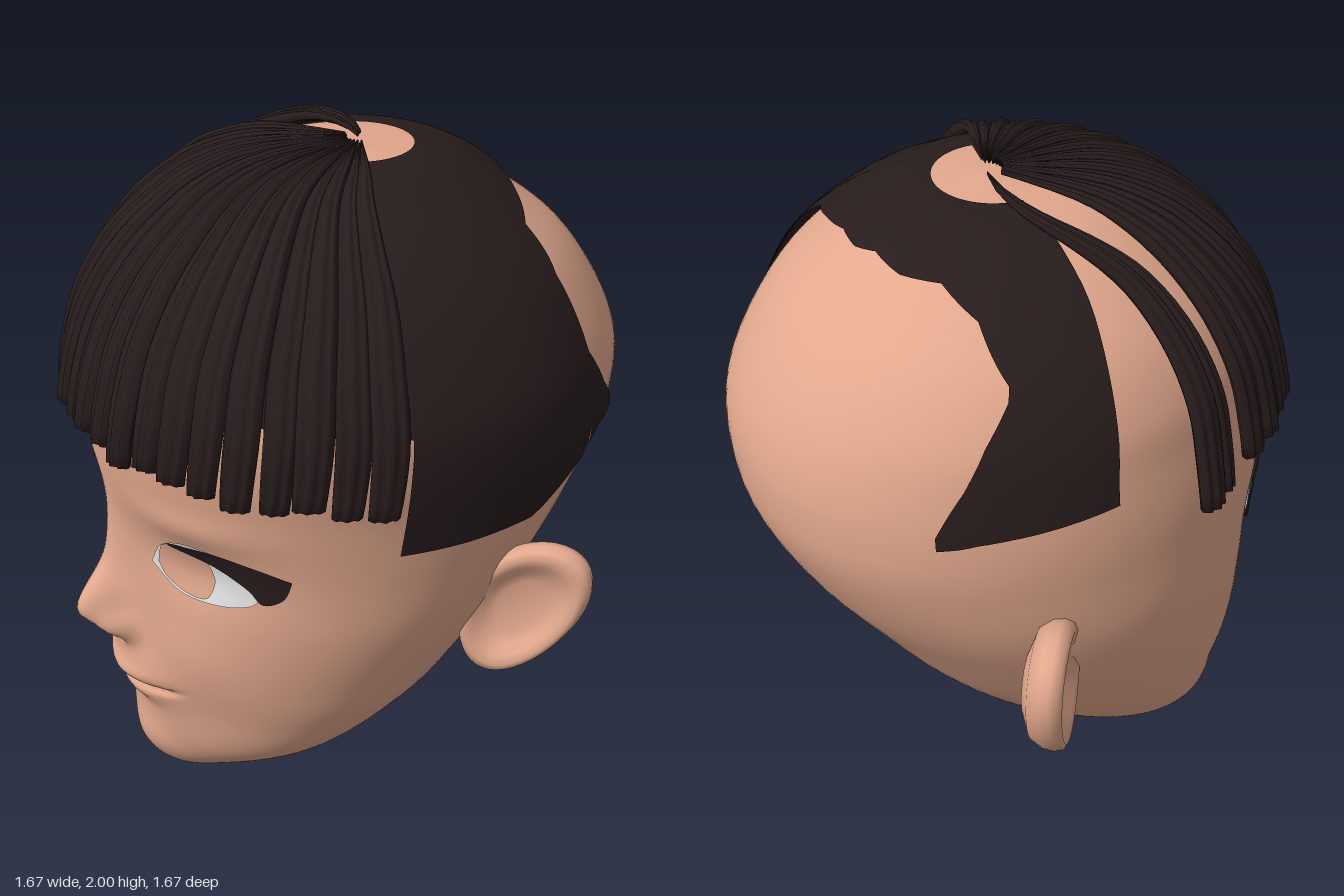
import * as THREE from 'three';
import { mergeVertices } from 'three/addons/utils/BufferGeometryUtils.js';

const RAD = Math.PI / 180, YAW = 14 * RAD, C = Math.cos(YAW), S = Math.sin(YAW);
const V = (x, y, z) => new THREE.Vector3(x, y, z);
const { lerp, clamp, smoothstep } = THREE.MathUtils;

// Horizontal slices of the head: y, min x, max x, min z, max z
const SLICES = [
  [0, -.21, -.21, .46, .46], [.02, -.36, -.08, .33, .57], [.07, -.46, .04, .19, .61],
  [.2, -.575, .27, -.08, .64], [.36, -.64, .41, -.3, .66], [.5, -.685, .485, -.435, .685],
  [.7, -.73, .57, -.58, .69], [.9, -.755, .625, -.715, .7], [1.1, -.755, .67, -.81, .735],
  [1.25, -.75, .705, -.835, .75], [1.4, -.73, .715, -.82, .74], [1.55, -.7, .67, -.76, .69],
  [1.7, -.62, .59, -.65, .6], [1.82, -.5, .47, -.5, .48], [1.9, -.38, .35, -.39, .36],
  [1.95, -.24, .24, -.26, .22], [1.97, .03, .03, -.03, -.03],
];
const curveX = new THREE.CatmullRomCurve3(SLICES.map(r => V(r[0], r[1], r[2])), false, 'catmullrom', .5);
const curveZ = new THREE.CatmullRomCurve3(SLICES.map(r => V(r[0], r[3], r[4])), false, 'catmullrom', .5);

// Turned ellipse at slice parameter u (0 chin, 1 crown)
function level(u) {
  const p = curveX.getPoint(u), q = curveZ.getPoint(u);
  const hx = Math.max(0, (p.z - p.y) / 2), hz = Math.max(0, (q.z - q.y) / 2), k = C * C - S * S;
  const a = Math.sqrt(Math.max(0, (hx * hx * C * C - hz * hz * S * S) / k));
  const b = Math.sqrt(Math.max(0, (hz * hz * C * C - hx * hx * S * S) / k));
  return { y: p.x, cx: (p.y + p.z) / 2, cz: (q.y + q.z) / 2, a, b, hx };
}
function uOf(y) {
  let lo = 0, hi = 1;
  for (let i = 0; i < 30; i++) {
    const m = (lo + hi) / 2;
    if (curveX.getPoint(m).x < y) lo = m; else hi = m;
  }
  return (lo + hi) / 2;
}
// Point on the bare skull; th is measured from the face towards the head's left
function skull(th, u, off = 0) {
  const l = level(u), s = l.a * Math.sin(th), f = l.b * Math.cos(th);
  const p = V(l.cx + C * s - S * f, l.y, l.cz + S * s + C * f);
  return off ? p.addScaledVector(p.clone().sub(V(0, 1.1, 0)).normalize(), off) : p;
}

// Facial relief as forward displacement
const hill = (x, y, cx, cy, sx, sy) => Math.exp(-(((x - cx) / sx) ** 2) - ((y - cy) / sy) ** 2);
const mouthY = x => .367 + 1.1 * (x + .2) ** 2 * (x < -.2 ? .85 : .8);
function relief(x, y) {
  let d = .145 * hill(x, y, -.275, .63, .09, y > .63 ? .11 : .085);
  d += .05 * (hill(x, y, -.355, .585, .05, .05) + hill(x, y, -.185, .575, .05, .05));
  d += .04 * hill(x, y, -.25, .8, .07, .17);
  d -= .025 * (hill(x, y, -.315, .535, .022, .016) + hill(x, y, -.215, .53, .022, .016));
  d -= .025 * (hill(x, y, -.5, .95, .15, .1) + hill(x, y, .13, .89, .17, .1));
  d += .012 * (hill(x, y, -.52, 1.09, .15, .05) + hill(x, y, .14, 1.04, .18, .05));
  d += .012 * (hill(x, y, -.52, .62, .13, .12) + hill(x, y, .1, .58, .15, .12));
  const m = mouthY(x);
  d += .045 * hill(x, y, -.23, .42, .2, .1) + .022 * hill(x, y, -.22, .12, .13, .08);
  d += .022 * hill(x, y, -.23, m + .04, .14, .03) + .022 * hill(x, y, -.23, m - .04, .12, .032);
  d -= .024 * Math.exp(-(((x + .235) / .24) ** 6)) * Math.exp(-(((y - m) / .012) ** 2));
  return d;
}
// Depth of the face at a front position
function faceZ(x, y) {
  const l = level(uOf(y));
  const th = Math.asin(clamp((x - l.cx) / l.hx, -1, 1)) + Math.atan2(l.b * S, l.a * C);
  return l.cz + S * l.a * Math.sin(th) + C * l.b * Math.cos(th) + relief(x, y);
}

function grid(nu, nv, f) {
  const pos = [], idx = [];
  for (let j = 0; j <= nv; j++) for (let i = 0; i <= nu; i++) pos.push(...f(i / nu, j / nv).toArray());
  for (let j = 0; j < nv; j++) for (let i = 0; i < nu; i++) {
    const a = j * (nu + 1) + i, d = a + nu + 1;
    idx.push(a, a + 1, d + 1, a, d + 1, d);
  }
  let g = new THREE.BufferGeometry();
  g.setAttribute('position', new THREE.Float32BufferAttribute(pos, 3));
  g.setIndex(idx);
  g = mergeVertices(g, 1e-5);
  g.computeVertexNormals();
  return g;
}

export function createModel() {
  const root = new THREE.Group();
  const mat = (name, color, side = THREE.FrontSide) => {
    const m = new THREE.MeshStandardMaterial({ color, side });
    m.name = name;
    return m;
  };
  const skin = mat('skin', 0xe2a88d);
  const hair = mat('hair', 0x281c1c, THREE.DoubleSide);
  const white = mat('eye white', 0xe6e6e6, THREE.DoubleSide);
  const add = (name, g, m, parent = root) => {
    const mesh = new THREE.Mesh(g, m);
    mesh.name = name;
    parent.add(mesh);
  };

  // Head, with denser columns at the face
  add('head', grid(150, 192, (s, u) => {
    const t = (s * 2 - 1) * Math.PI, th = t - .5 * Math.sin(t), p = skull(th, u);
    p.z += relief(p.x, p.y) * smoothstep(Math.cos(th), .1, .45);
    return p;
  }), skin);

  // Ears: rimmed bowls standing out from the sides
  const profile = [[0, -.42], [.5, -.38], [.85, -.25], [.98, -.06], [1, .1], [.95, .23], [.85, .27],
    [.72, .22], [.58, .1], [.4, .03], [0, .02]].map(p => new THREE.Vector2(...p));
  for (const [name, sgn, centre, lean] of [['leftEar', 1, V(.645, .7, -.13), .36], ['rightEar', -1, V(-.655, .815, -.5), .16]]) {
    const dir = deg => V(Math.sin(sgn * deg * RAD - YAW), 0, Math.cos(sgn * deg * RAD - YAW));
    const w = dir(134.5), n = dir(44.5), up = V(0, .96, 0).addScaledVector(w, lean);
    const g = new THREE.LatheGeometry(profile, 40), p = g.attributes.position;
    for (let i = 0; i < p.count; i++) p.setX(i, p.getX(i) * (.9 - .14 * sgn * p.getZ(i)));
    g.applyMatrix4(new THREE.Matrix4().makeBasis(w.multiplyScalar(.195), n.multiplyScalar(.19), up.multiplyScalar(-.24 * sgn)).setPosition(centre));
    g.deleteAttribute('uv');
    g.deleteAttribute('normal');
    const smooth = mergeVertices(g, 1e-5);
    smooth.computeVertexNormals();
    add(name, smooth, skin);
  }

  // Eyes: thin plates spanned between an upper and a lower edge, laid on the face
  const spline = pts => new THREE.SplineCurve(pts.map(p => new THREE.Vector2(...p)));
  const plate = (name, m, top, bottom, off) => {
    const a = spline(top), b = spline(bottom);
    add(name, grid(28, 10, (s, t) => {
      const p = b.getPoint(s).lerp(a.getPoint(s), t);
      return V(p.x, p.y, faceZ(p.x, p.y) + off);
    }), m);
  };
  const eyes = [{
    side: 'left',
    top: [[-.045, .865], [.01, .945], [.125, .99], [.245, .96], [.31, .865]],
    bottom: [[-.045, .865], [.06, .805], [.19, .8], [.285, .825], [.31, .865]],
    irisTop: [[-.01, .88], [.02, .95], [.1, .98], [.165, .96], [.185, .88]],
    irisBottom: [[-.01, .88], [.02, .84], [.09, .812], [.16, .815], [.185, .88]],
    lashTop: [[.06, .98], [.2, .997], [.32, .97], [.4, .935]],
    lashBottom: [[.06, .97], [.19, .945], [.285, .89], [.325, .845], [.375, .87], [.4, .935]],
  }, {
    side: 'right',
    top: [[-.655, .945], [-.625, 1.01], [-.52, 1.045], [-.425, .99], [-.373, .875]],
    bottom: [[-.655, .945], [-.615, .885], [-.495, .865], [-.373, .875]],
    irisTop: [[-.58, .92], [-.57, .985], [-.51, 1.025], [-.445, .985], [-.415, .9]],
    irisBottom: [[-.58, .92], [-.55, .885], [-.5, .874], [-.445, .877], [-.415, .9]],
    lashTop: [[-.717, 1.01], [-.67, 1.068], [-.575, 1.066], [-.44, 1.015]],
    lashBottom: [[-.717, 1.01], [-.68, .945], [-.63, .985], [-.55, .975], [-.44, 1.01]],
  }];
  for (const e of eyes) {
    plate(e.side + 'EyeWhite', white, e.top, e.bottom, .008);
    plate(e.side + 'EyeCentre', skin, e.irisTop, e.irisBottom, .014);
    plate(e.side + 'Lashes', hair, e.lashTop, e.lashBottom, .022);
  }

  // Hair sheets hugging the skull, flaring at the left side: columns of angle, upper y, lower y
  const sheet = (name, cols) => {
    const n = cols.length - 1;
    add(name, grid(n * 6, 20, (s, t) => {
      const k = Math.min(n - 1, Math.floor(s * n + 1e-9)), f = s * n - k;
      const [th, hi, lo] = cols[k].map((v, i) => lerp(v, cols[k + 1][i], f));
      const u = lerp(uOf(lo), uOf(hi), t), flare = .05 * clamp((135 - th) / 30, 0, 1);
      return skull(th * RAD, u, .02 + flare * clamp((1.9 - level(u).y) / .8, 0, 1));
    }), hair);
  };
  const H = 1.959;
  sheet('sideAndCrownHair', [[76, H, 1.06], [90, H, 1.065], [104, H, 1.075], [119, H, 1.17], [121, H, 1.25],
    [122, H, 1.5], [124, H, 1.68], [131, H, 1.79], [147, H, 1.83], [162, H, 1.86], [175, H, 1.86], [185, H, 1.875],
    [200, H, 1.86], [216, H, 1.865], [230, H, 1.81], [240, H, 1.7], [241, H, 1.32], [264, H, 1.36]]);
  sheet('leftHairPoint', [[121, 1.5, 1.2], [126, 1.37, 1.23], [135, 1.245, 1.23]]);
  sheet('rightHairPoint', [[228, 1.33, 1.29], [233, 1.46, 1.3], [236, 1.57, 1.31], [241, 1.69, 1.32]]);
  sheet('underFringe', [[-61, 1.966, 1.5], [0, 1.966, 1.48], [77, 1.966, 1.4]]);

  // Fringe: ridged, blunt wedge strands fanning out from the crown
  const fringe = new THREE.Group();
  fringe.name = 'fringe';
  root.add(fringe);
  let seed = 7;
  const rnd = () => (seed = (seed * 16807) % 2147483647) / 2147483647;
  const strand = (deg, half, yEnd, lift, skew = 0) => {
    const u0 = uOf(1.967), u1 = uOf(yEnd);
    add('strand', grid(28, 25, (s, v) => {
      const f = s * 2 * Math.PI, t = Math.min(1, v * 25 / 24), end = v < 1 ? 1 : 0;
      const w = half * (1 - .22 * t ** 5) * end, thick = .024 * Math.min(1, .25 + 2 * t) * end;
      const off = .02 + .032 * t + lift + thick * Math.sin(f) * (1 + .28 * Math.cos(8 * f));
      return skull((deg + skew * (1 - t) ** 4 + w * Math.cos(f)) * RAD, lerp(u0, u1, t), off);
    }), hair, fringe);
  };
  for (let i = 0; i < 20; i++) {
    const deg = -60 + i * 6.95;
    strand(deg + rnd() - .5, 3.6 + rnd() * .5, 1.235 - .0009 * (deg - 14) + (rnd() - .5) * .04, (i % 2) * .008);
  }
  strand(-72, 3.4, 1.27, 0, -42);
  strand(-76, 3.6, 1.25, .008, -45);
  return root;
}
